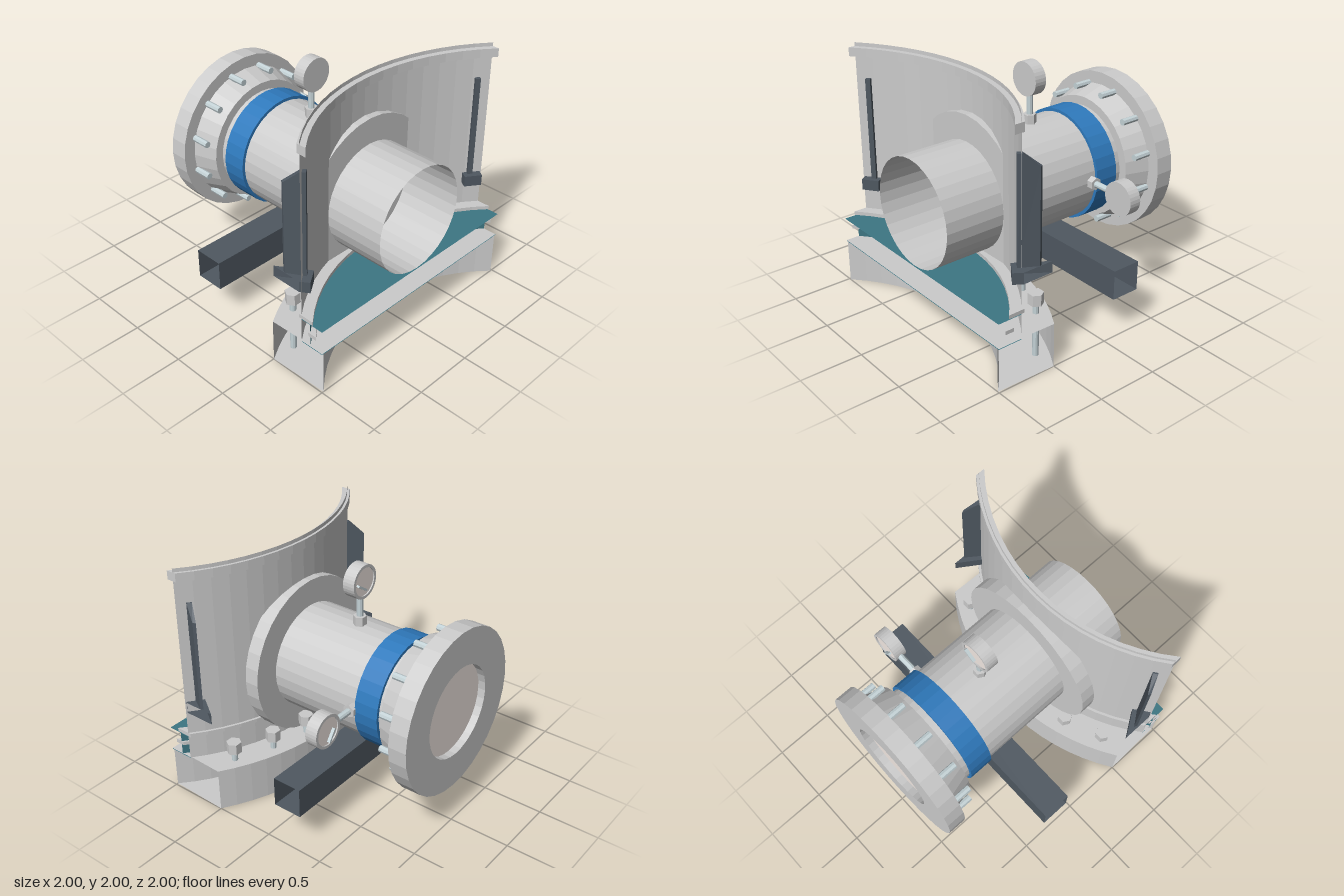
import * as THREE from 'three';

const CX = 2.01; // axis of the large tank, only a slice of which is modelled
const mat = (color) => new THREE.MeshStandardMaterial({ color, flatShading: true, side: THREE.DoubleSide });
const grey = mat(0xcccccc), dark = mat(0x4f5861), blue = mat(0x2f7abd), teal = mat(0x3d7683);
const steel = mat(0xc4d2d6), dial = mat(0xf2e8e2);

function add(parent, name, geometry, material = grey) {
  const mesh = new THREE.Mesh(geometry, material);
  mesh.name = name;
  parent.add(mesh);
  return mesh;
}

// Half angle of an arc of radius r, cut off at z = 1 and x = 1
const half = (r) => Math.min(Math.asin(1 / r), Math.acos((CX - 1) / r));

function arc(r, n = 16) {
  const h = half(r);
  return Array.from({ length: n + 1 }, (_, i) => {
    const a = -h + (2 * h * i) / n;
    return new THREE.Vector2(CX - r * Math.cos(a), r * Math.sin(a));
  });
}

// Upright sheet following a plan line (x, z)
function sheet(pts, y0, y1) {
  const g = new THREE.PlaneGeometry(1, 1, pts.length - 1, 1);
  const pos = g.attributes.position;
  for (let i = 0; i < pos.count; i++) {
    const p = pts[i % pts.length];
    pos.setXYZ(i, p.x, i < pts.length ? y1 : y0, p.y);
  }
  g.computeVertexNormals();
  return g;
}

// Plan outline (x, z) laid flat at height y
const flat = (pts, y) => new THREE.ShapeGeometry(new THREE.Shape(pts)).rotateX(Math.PI / 2).translate(0, y, 0);

// Plan outline raised from y0 to y1
const slab = (pts, y0, y1) =>
  new THREE.ExtrudeGeometry(new THREE.Shape(pts), { depth: y1 - y0, bevelEnabled: false })
    .rotateX(Math.PI / 2).translate(0, y1, 0);

const ringPlan = (ri, ro) => [...arc(ro), ...arc(ri).reverse()];
const chordPlan = (r) => [...arc(r), new THREE.Vector2(1, 1), new THREE.Vector2(1, -1)];

// Cylinder along x between x0 and x1, on the pipe axis
const tubeX = (r, x0, x1, open = false, seg = 32) =>
  new THREE.CylinderGeometry(r, r, x1 - x0, seg, 1, open).rotateZ(Math.PI / 2).translate((x0 + x1) / 2, 1, 0);

// Profile of [radius, x] pairs turned about the pipe axis
const turned = (pts) =>
  new THREE.LatheGeometry(pts.map(([r, x]) => new THREE.Vector2(r, x)), 32)
    .rotateZ(-Math.PI / 2).translate(0, 1, 0);

function pressureGauge() {
  const g = new THREE.Group();
  g.name = 'pressureGauge';
  add(g, 'gaugeNut', new THREE.CylinderGeometry(0.052, 0.052, 0.08, 6).translate(-0.1, 0.46, 0));
  add(g, 'gaugeStem', new THREE.CylinderGeometry(0.026, 0.026, 0.17, 10).translate(-0.1, 0.575, 0), steel);
  add(g, 'gaugeBody', turned([[0, -0.045], [0.135, -0.045], [0.135, -0.145], [0.112, -0.145], [0.112, -0.133]])
    .translate(0, -0.21, 0));
  add(g, 'gaugeFace', new THREE.CircleGeometry(0.112, 24).rotateY(-Math.PI / 2).translate(-0.135, 0.79, 0), dial);
  const needle = add(g, 'gaugeNeedle', new THREE.BoxGeometry(0.025, 0.016, 0.11), steel);
  needle.position.set(-0.15, 0.76, -0.045);
  needle.rotation.x = 0.6;
  return g;
}

export function createModel() {
  const model = new THREE.Group();
  model.name = 'tankNozzleSection';

  // Pipe with flange, neck, band and reinforcing pad
  const pipe = new THREE.Group();
  pipe.name = 'pipeAssembly';
  model.add(pipe);
  add(pipe, 'pipe', tubeX(0.43, -0.66, 1, true));
  add(pipe, 'flange', turned([[0.37, -0.85], [0.66, -0.85], [0.66, -1], [0.37, -1], [0.37, -0.85]]));
  add(pipe, 'flangeNeck', turned([[0.43, -0.66], [0.5, -0.66], [0.56, -0.85]]));
  add(pipe, 'flangeBore', new THREE.CircleGeometry(0.37, 32).rotateY(-Math.PI / 2).translate(-0.94, 1, 0), dial);
  add(pipe, 'pipeBand', tubeX(0.455, -0.6, -0.4), blue);
  add(pipe, 'reinforcingPad', tubeX(0.64, 0.38, 0.5));
  for (let i = 0; i < 12; i++) {
    const a = ((i + 0.5) * Math.PI) / 6;
    add(pipe, 'flangeBolt', tubeX(0.027, -0.86, -0.7, false, 8)
      .translate(0, 0.56 * Math.sin(a), 0.56 * Math.cos(a)), steel);
  }

  // One gauge on top of the pipe, one on its back
  const topGauge = pressureGauge();
  topGauge.position.y = 1;
  const backGauge = pressureGauge();
  backGauge.position.set(-0.265, 1, 0.02);
  backGauge.rotation.x = -Math.PI / 2;
  model.add(topGauge, backGauge);

  // Hollow square beam below the pipe
  add(model, 'supportBeam',
    new THREE.CylinderGeometry(0.12 * Math.SQRT2, 0.12 * Math.SQRT2, 2, 4, 1, true, Math.PI / 4)
      .rotateX(Math.PI / 2).translate(-0.2, 0.45, 0), dark);

  // Tank wall and its rings
  add(model, 'tankWall', sheet(arc(1.57), 0.36, 2));
  add(model, 'topRing', slab(ringPlan(1.528, 1.59), 1.9, 1.97));
  add(model, 'floorRing', slab(ringPlan(1.487, 1.59), 0.565, 0.595));

  // Raised tank floor, its skirt, and the bottom plate below
  add(model, 'tankFloor', flat(chordPlan(1.57), 0.56), teal);
  add(model, 'floorSkirt', sheet(arc(1.505), 0.36, 0.56), teal);
  add(model, 'skirtRing', slab(ringPlan(1.465, 1.52), 0.45, 0.48));
  add(model, 'bottomPlate', flat(chordPlan(1.57), 0.363));
  add(model, 'bottomLining', flat(chordPlan(1.57), 0.357), teal);

  // Hollow foundation ring with open ends
  const base = new THREE.Group();
  base.name = 'foundation';
  model.add(base);
  add(base, 'foundationOuterWall', sheet(arc(1.81), 0, 0.36));
  add(base, 'foundationInnerWall', sheet(arc(1.41), 0, 0.36));
  for (const y of [0, 0.36]) add(base, 'foundationPlate', flat(ringPlan(1.41, 1.81), y));

  // Anchor bolts
  for (let i = 0; i < 6; i++) {
    const a = ((i - 2.5) * Math.PI) / 16;
    const bolt = new THREE.Group();
    bolt.name = 'anchorBolt';
    bolt.position.set(CX - 1.704 * Math.cos(a), 0, 1.704 * Math.sin(a));
    add(bolt, 'anchorHead', new THREE.CylinderGeometry(0.06, 0.06, 0.09, 6).translate(0, 0.485, 0));
    add(bolt, 'anchorShaft', new THREE.CylinderGeometry(0.025, 0.025, 0.44, 10).translate(0, 0.22, 0), steel);
    model.add(bolt);
  }

  // Wall brackets: a hollow foot open at the cut, and an upright fin crossing the wall
  const fin = new THREE.Shape([[1.54, 0.88], [1.71, 0.88], [1.71, 1.62], [1.58, 1.72], [1.54, 1.72]]
    .map(([r, y]) => new THREE.Vector2(r, y)));
  for (const s of [1, -1]) {
    const foot = [[0.525, 1], [0.765, 0.84], [0.845, 0.955], [0.78, 1]].map(([x, z]) => new THREE.Vector2(x, s * z));
    add(model, 'bracketFootSides', sheet(foot, 0.79, 0.88), dark);
    for (const y of [0.79, 0.88]) add(model, 'bracketFootPlate', flat(foot, y), dark);

    const g = new THREE.ExtrudeGeometry(fin, { depth: 0.04, bevelEnabled: false })
      .translate(0, 0, -0.02).rotateY(Math.PI + (s * Math.PI) / 5).translate(CX, 0, 0);
    const pos = g.attributes.position;
    for (let i = 0; i < pos.count; i++) pos.setZ(i, THREE.MathUtils.clamp(pos.getZ(i), -1, 1));
    add(model, 'bracketFin', g, dark);
  }
  return model;
}
